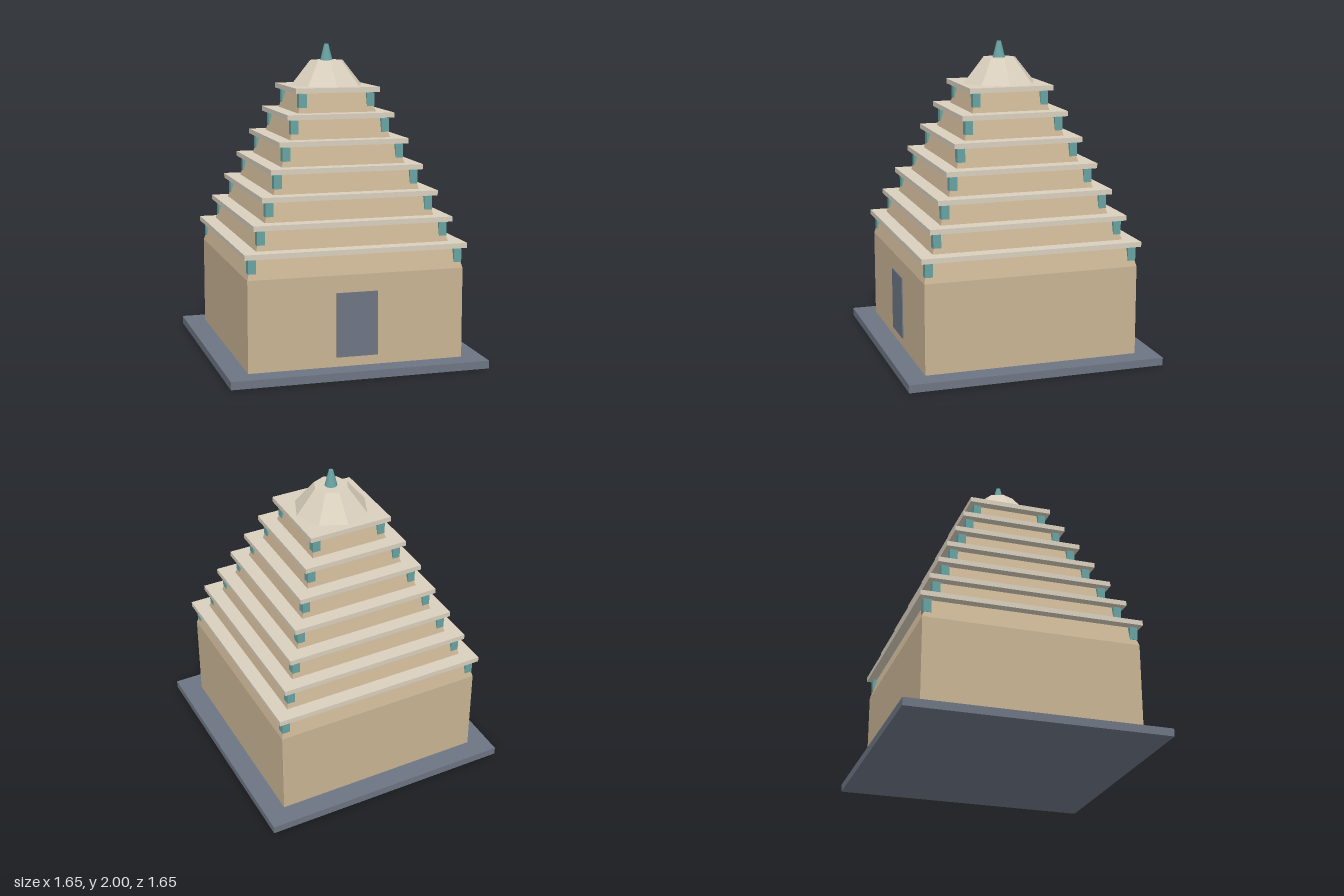
import * as THREE from 'three';

const paint = (name, color) => {
  const m = new THREE.MeshStandardMaterial({ color });
  m.name = name;
  return m;
};

export function createModel() {
  const sand = paint('sandstone', 0xc9b494);
  const cream = paint('pale stone', 0xd9cfbd);
  const slate = paint('slate', 0x6d7583);
  const teal = paint('teal', 0x68a3a2);

  const model = new THREE.Group();
  model.name = 'steppedTower';

  const add = (parent, name, geometry, material, x, y, z) => {
    const mesh = new THREE.Mesh(geometry, material);
    mesh.name = name;
    mesh.position.set(x, y, z);
    parent.add(mesh);
    return mesh;
  };

  // Square block standing on y = bottom, its top narrowed to topHalf
  const block = (parent, name, half, topHalf, bottom, top, material) => {
    const g = new THREE.BoxGeometry(half * 2, top - bottom, half * 2);
    const p = g.attributes.position;
    for (let i = 0; i < p.count; i++) {
      if (p.getY(i) > 0) {
        p.setX(i, p.getX(i) * topHalf / half);
        p.setZ(i, p.getZ(i) * topHalf / half);
      }
    }
    g.computeVertexNormals();
    return add(parent, name, g, material, 0, (bottom + top) / 2, 0);
  };

  // Plinth, main hall and door
  block(model, 'plinth', 0.825, 0.825, 0, 0.05, slate);
  block(model, 'hallWalls', 0.69, 0.69, 0.05, 0.625, sand);
  add(model, 'door', new THREE.BoxGeometry(0.265, 0.405, 0.008), slate, 0, 0.3125, 0.693);

  // Seven shrinking tiers: sloped wall, corner brackets and eave slab
  const rise = 0.1583, inset = 0.0724;
  for (let i = 0; i < 7; i++) {
    const tier = new THREE.Group();
    tier.name = `tier${i + 1}`;
    model.add(tier);
    const half = 0.69 - i * inset;
    const eave = 0.754 + i * rise;
    const start = i === 0 ? 0.625 : eave - rise + 0.032;
    block(tier, 'tierWall', half, half - 0.037, start, eave, sand);
    block(tier, 'eaveSlab', half + 0.02, half + 0.02, eave, eave + 0.032, cream);
    for (const sx of [-1, 1]) {
      for (const sz of [-1, 1]) {
        add(tier, 'cornerBracket', new THREE.BoxGeometry(0.05, 0.085, 0.05), teal,
          sx * (half - 0.032), eave - 0.0495, sz * (half - 0.032));
      }
    }
  }

  // Eight-sided cap with its finial
  const cap = new THREE.CylinderGeometry(0.11, 0.238, 0.159, 8).toNonIndexed();
  cap.computeVertexNormals();
  add(model, 'roofCap', cap, cream, 0, 1.8155, 0);
  add(model, 'finial', new THREE.CylinderGeometry(0.014, 0.04, 0.105, 16), teal, 0, 1.9475, 0);

  return model;
}
